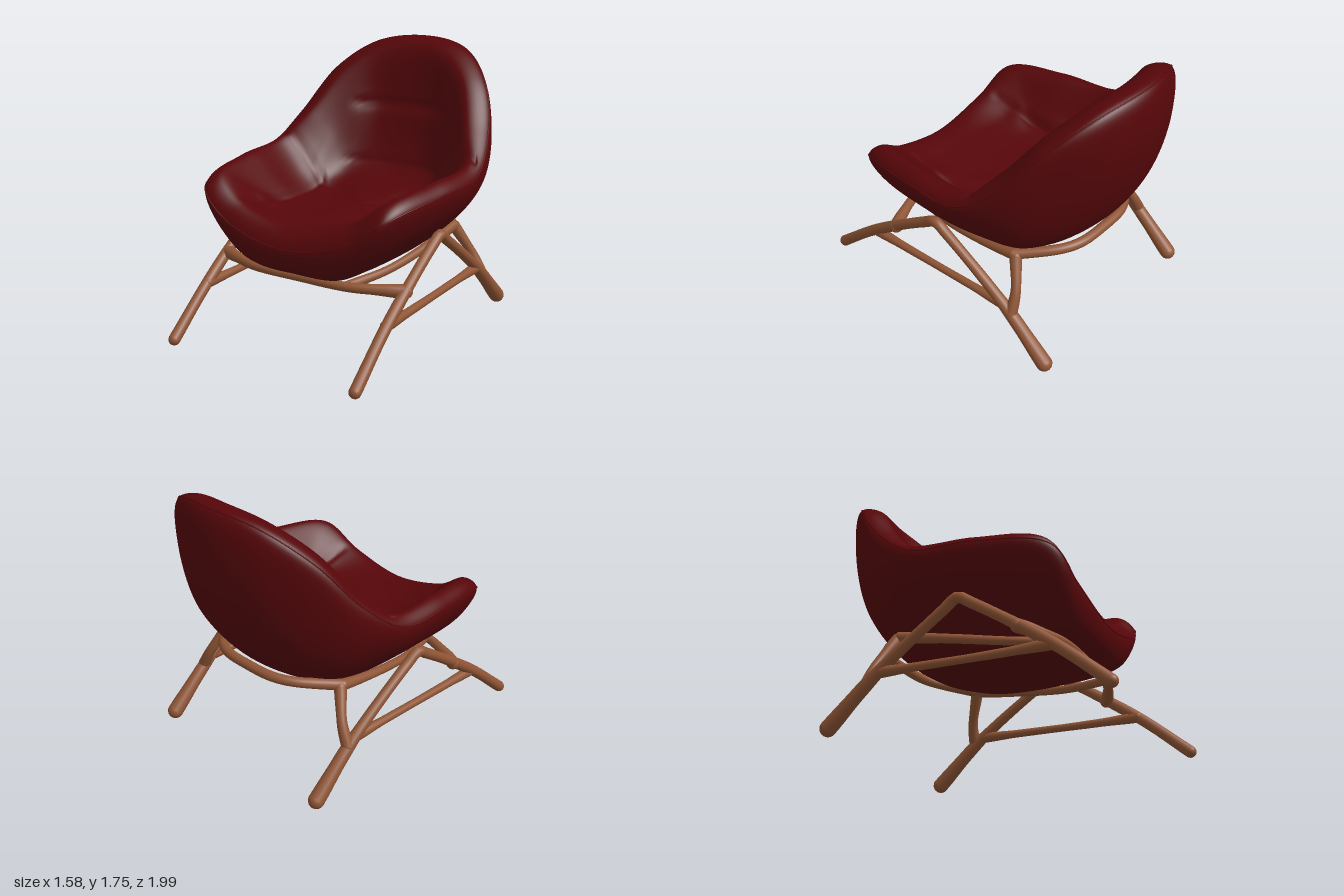
import * as THREE from 'three';
import { mergeVertices } from 'three/addons/utils/BufferGeometryUtils.js';

const V = (p) => new THREE.Vector3(...p);

// Closed symmetric ring from half its points, front centre round to back centre
function ring(half) {
  const mirrored = half.slice(1, -1).reverse().map(([x, y, z]) => [-x, y, z]);
  return new THREE.CatmullRomCurve3([...half, ...mirrored].map(V), true);
}

// Upholstered shell rings: underside, outside, rim, lip, inside
const underside = ring([[0, 0.415, 0.25], [0.12, 0.42, 0.23], [0.22, 0.435, 0.17], [0.3, 0.465, 0.05],
  [0.34, 0.5, -0.18], [0.34, 0.545, -0.36], [0.26, 0.575, -0.49], [0.15, 0.59, -0.55], [0, 0.6, -0.58]]);
const belly = ring([[0, 0.45, 0.5], [0.24, 0.455, 0.47], [0.4, 0.53, 0.38], [0.51, 0.61, 0.15],
  [0.57, 0.67, -0.22], [0.56, 0.75, -0.51], [0.44, 0.85, -0.69], [0.24, 0.92, -0.81], [0, 0.95, -0.86]]);
const outside = ring([[0, 0.53, 0.675], [0.36, 0.56, 0.655], [0.58, 0.71, 0.57], [0.72, 0.83, 0.2],
  [0.755, 0.89, -0.21], [0.7, 1.04, -0.52], [0.53, 1.26, -0.75], [0.3, 1.42, -0.92], [0, 1.47, -0.988]]);
const rim = ring([[0, 0.66, 0.712], [0.42, 0.755, 0.7], [0.655, 0.92, 0.635], [0.765, 0.99, 0.2],
  [0.78, 1.02, -0.2], [0.712, 1.22, -0.47], [0.575, 1.5, -0.69], [0.34, 1.685, -0.86], [0, 1.738, -0.935]]);
const lip = ring([[0, 0.77, 0.63], [0.38, 0.85, 0.62], [0.6, 1.0, 0.55], [0.68, 1.05, 0.18],
  [0.7, 1.085, -0.22], [0.6, 1.25, -0.4], [0.46, 1.52, -0.6], [0.25, 1.665, -0.73], [0, 1.705, -0.78]]);
const wall = ring([[0, 0.77, 0.4], [0.34, 0.79, 0.38], [0.47, 0.86, 0.34], [0.48, 0.85, 0.12],
  [0.5, 0.87, -0.2], [0.46, 1.1, -0.43], [0.34, 1.27, -0.57], [0.2, 1.3, -0.65], [0, 1.3, -0.67]]);
const cushion = ring([[0, 0.76, 0.2], [0.2, 0.755, 0.2], [0.38, 0.77, 0.18], [0.38, 0.76, 0.0],
  [0.38, 0.77, -0.2], [0.34, 0.84, -0.38], [0.26, 0.88, -0.46], [0.14, 0.89, -0.49], [0, 0.89, -0.5]]);

const bump = (d, width) => Math.exp(-((d / width) ** 2));

// Soft creases in the cushion faces
function crease(p) {
  const ax = Math.abs(p.x);
  if (p.z < -0.3) {
    const inPanel = THREE.MathUtils.smoothstep(0.4 - ax, 0, 0.1);
    p.z -= 0.02 * inPanel * (bump(p.y - 1.3, 0.025) + bump(p.y - 0.92, 0.025));
  } else {
    p.y -= 0.015 * bump(ax - 0.42, 0.025) * THREE.MathUtils.smoothstep(0.6 - p.z, 0, 0.1);
  }
  // fold where the arms meet the back
  p.y -= 0.015 * bump(p.z + 0.27, 0.025);
}

function shellGeometry(around = 192, across = 96) {
  const rings = [underside, belly, outside, rim, lip, wall, cushion];
  const bottom = V([0, 0.425, -0.1]), seat = V([0, 0.755, -0.08]);
  const positions = [], index = [];
  for (let i = 0; i < around; i++) {
    const meridian = new THREE.CatmullRomCurve3([bottom, ...rings.map((r) => r.getPoint(i / around)), seat]);
    for (let j = 0; j <= across; j++) {
      const p = meridian.getPoint(j / across);
      if (j / across > 0.56) crease(p);
      positions.push(p.x, p.y, p.z);
    }
  }
  const at = (i, j) => (i % around) * (across + 1) + j;
  for (let i = 0; i < around; i++) {
    for (let j = 0; j < across; j++) {
      const a = at(i, j), b = at(i + 1, j), c = at(i + 1, j + 1), d = at(i, j + 1);
      if (j > 0) index.push(a, b, c);
      if (j < across - 1) index.push(a, c, d);
      else index.push(a, b, d);
    }
  }
  const geometry = new THREE.BufferGeometry();
  geometry.setAttribute('position', new THREE.Float32BufferAttribute(positions, 3));
  geometry.setIndex(index);
  const merged = mergeVertices(geometry, 1e-5);
  merged.computeVertexNormals();
  return merged;
}

// Rounded wooden bar whose radius follows the given list along its length
function bar(name, points, radii, material) {
  const group = new THREE.Group();
  group.name = name;
  const curve = new THREE.CatmullRomCurve3(points.map(V));
  const segments = 64, sides = 16;
  const geometry = new THREE.TubeGeometry(curve, segments, 1, sides);
  const pos = geometry.attributes.position, v = new THREE.Vector3();
  for (let i = 0; i <= segments; i++) {
    const f = (i / segments) * (radii.length - 1);
    const k = Math.min(Math.floor(f), radii.length - 2);
    const r = THREE.MathUtils.lerp(radii[k], radii[k + 1], THREE.MathUtils.smoothstep(f - k, 0, 1));
    const centre = curve.getPointAt(i / segments);
    for (let j = 0; j <= sides; j++) {
      const n = i * (sides + 1) + j;
      v.fromBufferAttribute(pos, n).sub(centre).multiplyScalar(r).add(centre);
      pos.setXYZ(n, v.x, v.y, v.z);
    }
  }
  geometry.computeBoundingSphere();
  group.add(new THREE.Mesh(geometry, material));
  // rounded ends
  [[0, radii[0]], [1, radii[radii.length - 1]]].forEach(([t, r]) => {
    const end = new THREE.Mesh(new THREE.SphereGeometry(r, 16, 12), material);
    end.position.copy(curve.getPoint(t));
    group.add(end);
  });
  group.children.forEach((m) => { m.name = name; });
  return group;
}

export function createModel() {
  const model = new THREE.Group();
  model.name = 'loungeChair';
  const fabric = new THREE.MeshStandardMaterial({ color: 0x560609 });
  fabric.name = 'dark red fabric';
  const wood = new THREE.MeshStandardMaterial({ color: 0x8f5535 });
  wood.name = 'brown wood';

  const shell = new THREE.Mesh(shellGeometry(), fabric);
  shell.name = 'upholsteredShell';
  const piping = new THREE.Mesh(new THREE.TubeGeometry(rim, 200, 0.005, 8, true), fabric);
  piping.name = 'rimPiping';
  model.add(shell, piping);

  // Side frames, mirrored left and right
  for (const s of [1, -1]) {
    const side = s > 0 ? 'left' : 'right';
    const add = (part, pts, radii) =>
      model.add(bar(side + part, pts.map(([x, y, z]) => [x * s, y, z]), radii, wood));
    add('LegFrame', [[0.66, 0.038, 0.962], [0.66, 0.31, 0.64], [0.67, 0.65, 0.15], [0.675, 0.703, 0.055],
      [0.67, 0.65, -0.03], [0.66, 0.34, -0.47], [0.66, 0.05, -0.79]],
    [0.037, 0.035, 0.036, 0.033, 0.034, 0.032, 0.034, 0.042, 0.05]);
    add('Stretcher', [[0.655, 0.31, 0.64], [0.655, 0.315, 0.3], [0.66, 0.34, -0.47]], [0.034, 0.026, 0.024, 0.025, 0.034]);
    add('RearStrut', [[0.66, 0.3, -0.53], [0.6, 0.42, -0.515], [0.51, 0.6, -0.44]], [0.038, 0.031, 0.038]);
    add('SeatRail', [[0.33, 0.46, 0.56], [0.43, 0.49, 0.25], [0.49, 0.55, -0.1], [0.51, 0.61, -0.42]],
      [0.028, 0.026, 0.028, 0.036]);
  }

  // Cross bars under the seat
  model.add(bar('frontCrossBar', [[-0.66, 0.455, 0.43], [-0.56, 0.458, 0.48], [-0.33, 0.458, 0.56], [0, 0.458, 0.57],
    [0.33, 0.458, 0.56], [0.56, 0.458, 0.48], [0.66, 0.455, 0.43]], [0.042, 0.031, 0.028, 0.028, 0.028, 0.031, 0.042], wood));
  model.add(bar('rearCrossBar', [[-0.51, 0.61, -0.42], [-0.32, 0.64, -0.63], [-0.2, 0.648, -0.69], [0, 0.65, -0.705],
    [0.2, 0.648, -0.69], [0.32, 0.64, -0.63], [0.51, 0.61, -0.42]], [0.036, 0.031, 0.031, 0.031, 0.036], wood));
  return model;
}
